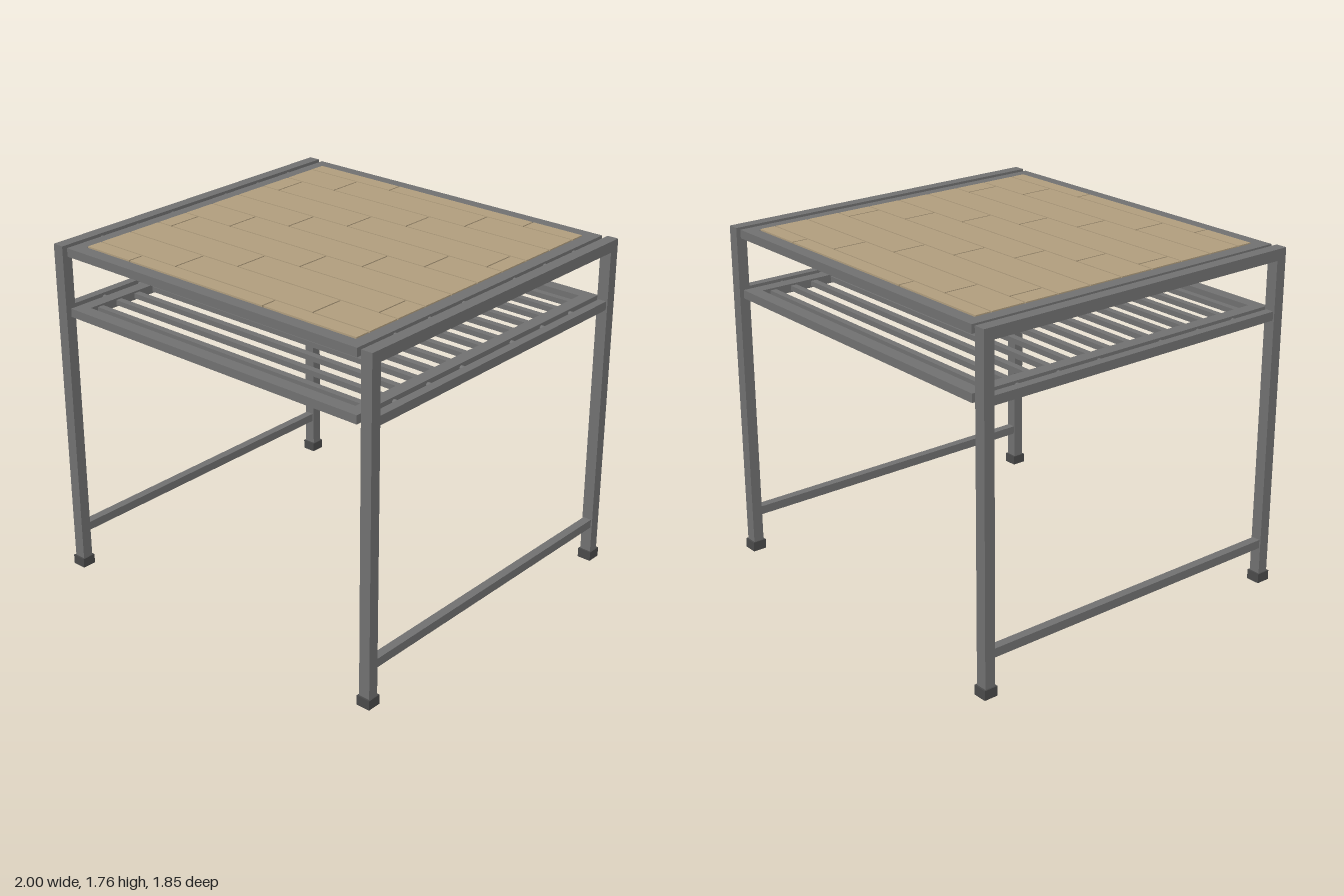
import * as THREE from 'three';

export function createModel() {
  const model = new THREE.Group();
  model.name = 'table';
  const steel = new THREE.MeshStandardMaterial({ color: 0x707070 });
  steel.name = 'grey steel';
  const rubber = new THREE.MeshStandardMaterial({ color: 0x4a4a4a });
  rubber.name = 'dark rubber';
  const wood = new THREE.MeshStandardMaterial({ color: 0xb09d7d });
  wood.name = 'tan wood';

  // Box given by its extents along each axis
  function box(name, mat, [x0, x1], [y0, y1], [z0, z1], parent = model) {
    const mesh = new THREE.Mesh(new THREE.BoxGeometry(x1 - x0, y1 - y0, z1 - z0), mat);
    mesh.position.set((x0 + x1) / 2, (y0 + y1) / 2, (z0 + z1) / 2);
    mesh.name = name;
    parent.add(mesh);
  }
  const around = (c, size) => [c - size / 2, c + size / 2];

  // Side trestles: two legs with feet, joined by three rails
  for (const side of [1, -1]) {
    const trestle = new THREE.Group();
    trestle.name = side > 0 ? 'leftTrestle' : 'rightTrestle';
    model.add(trestle);
    const x = side * 0.963;
    for (const end of [1, -1]) {
      box('leg', steel, around(x, 0.06), [0.04, 1.755], around(end * 0.888, 0.056), trestle);
      box('foot', rubber, around(x, 0.074), [0, 0.05], around(end * 0.888, 0.074), trestle);
    }
    box('topRail', steel, around(x, 0.06), [1.698, 1.755], [-0.86, 0.86], trestle);
    box('middleRail', steel, around(x, 0.045), [1.4, 1.445], [-0.86, 0.86], trestle);
    box('bottomRail', steel, around(x, 0.045), [0.19, 0.235], [-0.86, 0.86], trestle);

    // Spacer pins between the trestle and the two frames
    for (const y of [1.73, 1.42]) {
      for (const z of [-0.665, -0.43, -0.19, 0.19, 0.43, 0.665]) {
        const pin = new THREE.Mesh(new THREE.CylinderGeometry(0.013, 0.013, 0.06, 12), steel);
        pin.rotation.z = Math.PI / 2;
        pin.position.set(side * 0.92, y, z);
        pin.name = 'spacerPin';
        trestle.add(pin);
      }
    }
  }

  // Rectangular frames of the table top and the shelf
  function frame(name, y) {
    const group = new THREE.Group();
    group.name = name;
    model.add(group);
    for (const s of [1, -1]) {
      box('longBar', steel, [-0.905, 0.905], y, around(s * 0.876, 0.068), group);
      box('crossBar', steel, around(s * 0.8725, 0.065), y, [-0.842, 0.842], group);
    }
    return group;
  }
  const top = frame('topFrame', [1.709, 1.752]);
  const shelf = frame('shelfFrame', [1.4, 1.443]);

  // Shelf slats
  for (let i = 0; i < 14; i++) {
    box('slat', steel, [-0.842, 0.842], around(1.421, 0.026), around((i - 6.5) * 0.12, 0.034), shelf);
  }

  // Wooden panel: backing sheet with staggered boards on top
  box('panelBase', wood, [-0.84, 0.84], [1.73, 1.745], [-0.838, 0.838], top);
  const gap = 0.004, pitch = 0.188, length = 0.85;
  for (let row = 0; row < 10; row++) {
    const z1 = Math.min(0.836, (5 - row) * pitch - gap);
    const z0 = Math.max(-0.836, (4 - row) * pitch + gap);
    const shift = (-0.55 + row * 0.2167) % length;
    for (let k = -3; k < 4; k++) {
      const x0 = Math.max(-0.838, shift + k * length + gap);
      const x1 = Math.min(0.838, shift + (k + 1) * length - gap);
      if (x1 - x0 > 0.02) box('board', wood, [x0, x1], [1.744, 1.757], [z0, z1], top);
    }
  }
  return model;
}
